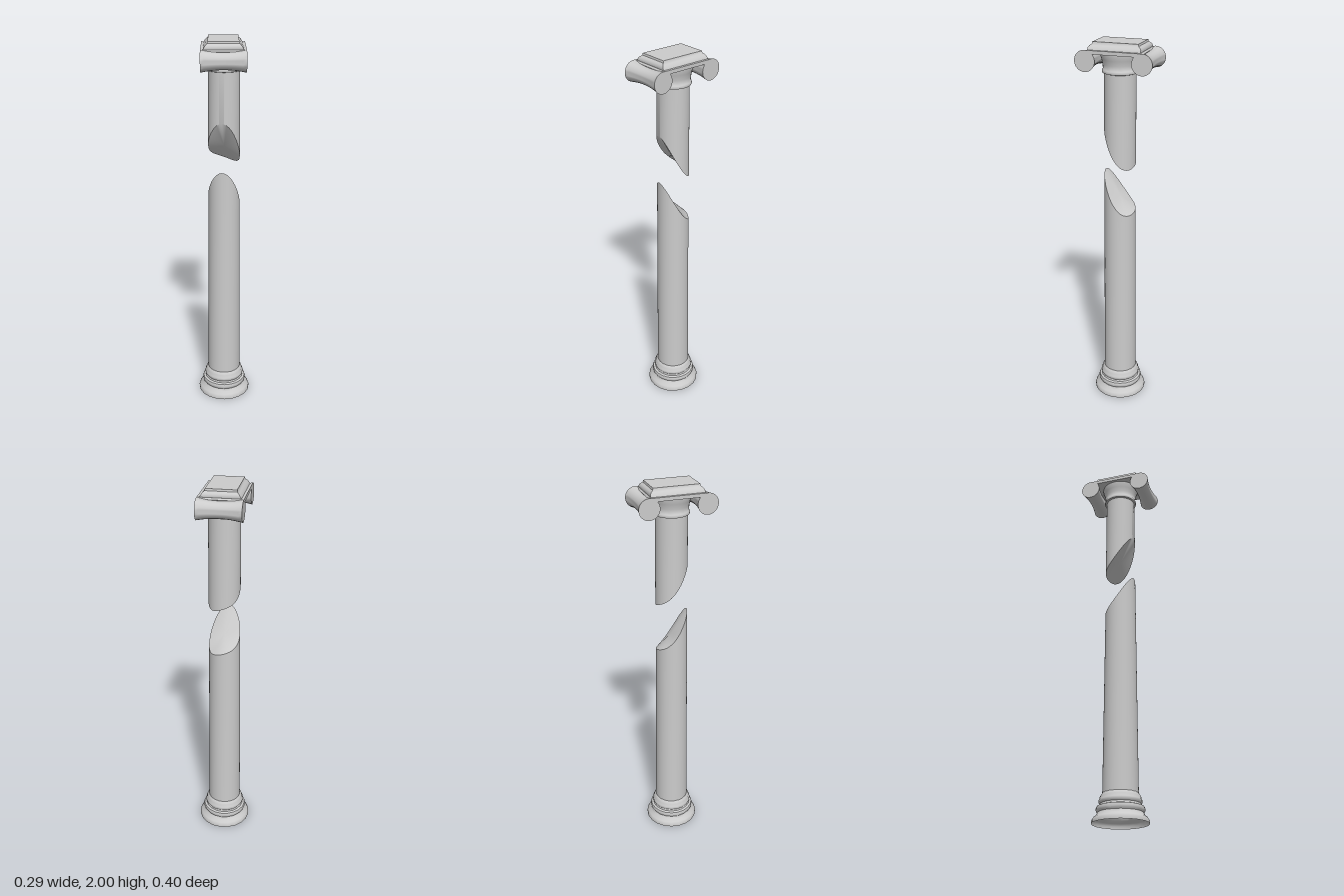
import * as THREE from 'three';
import { toCreasedNormals } from 'three/addons/utils/BufferGeometryUtils.js';

const material = new THREE.MeshStandardMaterial({ color: 0xcccccc, side: THREE.DoubleSide });

function add(parent, name, geometry, crease = 0.6) {
  const mesh = new THREE.Mesh(toCreasedNormals(geometry, crease), material);
  mesh.name = name;
  parent.add(mesh);
  return mesh;
}

const lathe = (points, sides) =>
  new THREE.LatheGeometry(points.map(([r, y]) => new THREE.Vector2(r, y)), sides);

// Round shaft between two height rules, with one end closed by the break
function shaft(bottom, top, rBottom, rTop, breakAtTop, sides = 40) {
  const pos = [], index = [];
  for (let i = 0; i < sides; i++) {
    const a = (i / sides) * Math.PI * 2, s = Math.sin(a), c = Math.cos(a);
    pos.push(s * rBottom, bottom(s, c), c * rBottom, s * rTop, top(s, c), c * rTop);
  }
  const rim = breakAtTop ? top : bottom;
  const centre = sides * 2;
  pos.push(0, (rim(0, 1) + rim(0, -1) + rim(1, 0) + rim(-1, 0)) / 4, 0);
  for (let i = 0; i < sides; i++) {
    const b = i * 2, n = ((i + 1) % sides) * 2;
    index.push(b, n, n + 1, b, n + 1, b + 1);
    if (breakAtTop) index.push(centre, b + 1, n + 1);
    else index.push(centre, n, b);
  }
  const g = new THREE.BufferGeometry();
  g.setAttribute('position', new THREE.Float32BufferAttribute(pos, 3));
  g.setIndex(index);
  return g;
}

// Slanted, slightly saddle-shaped break: high at the front, low at the back left
const breakRule = (mid, tiltX) => (s, c) => mid + 0.1075 * c - tiltX * s + 0.025 * (c * c - s * s);

// Stacked rectangular sections [halfX, halfZ, y], closed on top and bottom
function rectangularLoft(sections) {
  const pos = [], index = [];
  sections.forEach(([x, z, y]) => pos.push(-x, y, z, x, y, z, x, y, -z, -x, y, -z));
  for (let k = 0; k < sections.length - 1; k++) {
    for (let i = 0; i < 4; i++) {
      const a = k * 4 + i, b = k * 4 + ((i + 1) % 4);
      index.push(a, b, b + 4, a, b + 4, a + 4);
    }
  }
  const t = (sections.length - 1) * 4;
  index.push(t, t + 1, t + 2, t, t + 2, t + 3, 0, 2, 1, 0, 3, 2);
  const g = new THREE.BufferGeometry();
  g.setAttribute('position', new THREE.Float32BufferAttribute(pos, 3));
  g.setIndex(index);
  return g;
}

export function createModel() {
  const column = new THREE.Group();
  column.name = 'brokenColumn';

  // Moulded base, hollow underneath
  add(column, 'base', lathe([
    [0.143, 0], [0.143, 0.014], [0.136, 0.026], [0.122, 0.038], [0.115, 0.052],
    [0.12, 0.06], [0.122, 0.07], [0.118, 0.081], [0.106, 0.085], [0.103, 0.095],
    [0.108, 0.102], [0.108, 0.114], [0.103, 0.12], [0.102, 0.13], [0.096, 0.14], [0.088, 0.15],
  ], 20), 0.9);

  // Two halves of the snapped shaft
  add(column, 'lowerShaft', shaft(() => 0.13, breakRule(1.2, 0.025), 0.09, 0.082, true));
  add(column, 'upperShaft', shaft(breakRule(1.456, 0.03), () => 1.88, 0.082, 0.08, false));

  // Capital, set a touch to one side
  const capital = new THREE.Group();
  capital.name = 'capital';
  capital.position.x = -0.0035;
  column.add(capital);

  const neck = add(capital, 'neck', lathe([
    [0.08, 1.845], [0.089, 1.848], [0.091, 1.855], [0.089, 1.862], [0.085, 1.866],
    [0.087, 1.89], [0.092, 1.915], [0.1, 1.935], [0.1, 1.95],
  ], 32), 0.9);
  neck.position.x = 0.0035;

  // Scroll rolls with a narrow waist, front and back
  const roll = [[0, -0.1115]];
  for (let i = 0; i <= 12; i++) {
    const t = i / 6 - 1;
    roll.push([0.041 + 0.012 * t * t, t * 0.1115]);
  }
  roll.push([0, 0.1115]);
  for (const side of [1, -1]) {
    const mesh = add(capital, side > 0 ? 'frontScroll' : 'backScroll', lathe(roll, 32));
    mesh.rotation.z = Math.PI / 2;
    mesh.position.set(0, 1.911, side * 0.146);
  }

  // Slab bridging the scrolls, then the stepped top block
  add(capital, 'slab', rectangularLoft([
    [0.1115, 0.135, 1.945], [0.1115, 0.142, 1.955], [0.1115, 0.135, 1.963],
  ]), 0.4);
  add(capital, 'abacus', rectangularLoft([
    [0.1, 0.132, 1.955], [0.098, 0.135, 1.966], [0.092, 0.134, 1.975],
    [0.086, 0.129, 1.983], [0.078, 0.119, 1.99], [0.076, 0.117, 2.0],
  ]), 0.7);

  return column;
}
